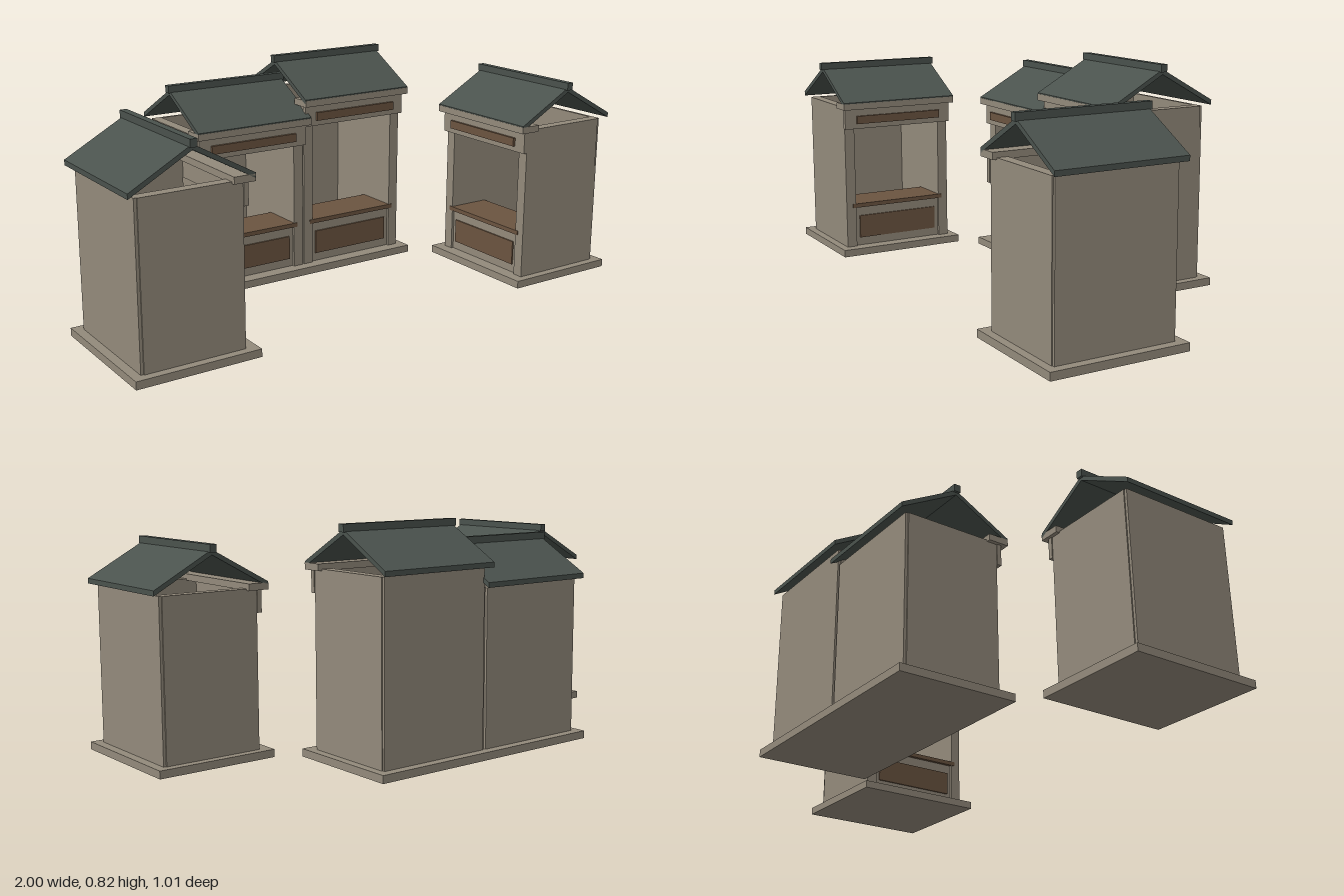
import * as THREE from 'three';

const wood = new THREE.MeshStandardMaterial({ color: 0x938a7b });
wood.name = 'paleWood';
const roofing = new THREE.MeshStandardMaterial({ color: 0x4a524d });
roofing.name = 'slateRoof';
const brown = new THREE.MeshStandardMaterial({ color: 0x6b5440 });
brown.name = 'brownWood';

// Box given by its limits on each axis
function block(parent, name, mat, [x0, x1], [y0, y1], [z0, z1]) {
  const mesh = new THREE.Mesh(new THREE.BoxGeometry(x1 - x0, y1 - y0, z1 - z0), mat);
  mesh.position.set((x0 + x1) / 2, (y0 + y1) / 2, (z0 + z1) / 2);
  mesh.name = name;
  parent.add(mesh);
  return mesh;
}

const span = (w) => [-w / 2, w / 2];

// Gabled roof: chevron profile extruded along the stall's width
function addRoof(stall, h) {
  const s = new THREE.Shape();
  s.moveTo(-0.217, h + 0.004);
  s.lineTo(0, h + 0.124);
  s.lineTo(0.217, h + 0.004);
  s.lineTo(0.217, h + 0.022);
  s.lineTo(0, h + 0.142);
  s.lineTo(-0.217, h + 0.022);
  const geo = new THREE.ExtrudeGeometry(s, { depth: 0.475, bevelEnabled: false });
  geo.translate(0, 0, -0.2375);
  geo.rotateY(Math.PI / 2);
  const roof = new THREE.Mesh(geo, roofing);
  roof.name = 'roof';
  stall.add(roof);
  block(stall, 'ridgeCap', roofing, span(0.492), [h + 0.133, h + 0.16], span(0.025));
}

// One stall, open towards +z, with walls of height h
function makeStall(name, h) {
  const stall = new THREE.Group();
  stall.name = name;
  const floor = 0.028;

  // Walls
  for (const side of [-1, 1]) {
    const x = side < 0 ? [-0.2225, -0.1825] : [0.1825, 0.2225];
    block(stall, side < 0 ? 'rightWall' : 'leftWall', wood, x, [floor, h], [-0.18, 0.18]);
  }
  block(stall, 'backWall', wood, span(0.437), [floor, h], [-0.19, -0.178]);

  // Counter and its front
  block(stall, 'counterFront', wood, span(0.366), [floor, 0.186], [0.155, 0.17]);
  block(stall, 'counterPanel', brown, span(0.33), [0.06, 0.15], [0.169, 0.176]);
  block(stall, 'counterTop', brown, span(0.392), [0.186, 0.202], [0.012, 0.183]);

  // Header above the opening
  block(stall, 'header', wood, span(0.452), [h - 0.085, h - 0.004], [0.18, 0.197]);
  block(stall, 'signBoard', brown, span(0.356), [h - 0.065, h - 0.034], [0.197, 0.207]);
  block(stall, 'headerBeam', wood, span(0.475), [h - 0.006, h + 0.018], [0.14, 0.218]);

  addRoof(stall, h);
  return stall;
}

export function createModel() {
  const group = new THREE.Group();
  group.name = 'marketStalls';

  // Middle pair on a shared base
  const low = makeStall('lowMiddleStall', 0.592);
  low.position.set(-0.2275, 0, -0.28);
  const high = makeStall('highMiddleStall', 0.66);
  high.position.set(0.2225, 0, -0.28);
  group.add(low, high);
  block(group, 'middleBase', wood, [-0.48, 0.475], [0, 0.028], [-0.504, -0.057]);

  // Side stalls facing each other
  for (const side of [-1, 1]) {
    const stall = makeStall(side < 0 ? 'rightStall' : 'leftStall', 0.592);
    block(stall, 'base', wood, span(0.505), [0, 0.028], span(0.445));
    stall.position.set(side * 0.777, 0, 0.251);
    stall.rotation.y = -side * Math.PI / 2;
    group.add(stall);
  }
  return group;
}
